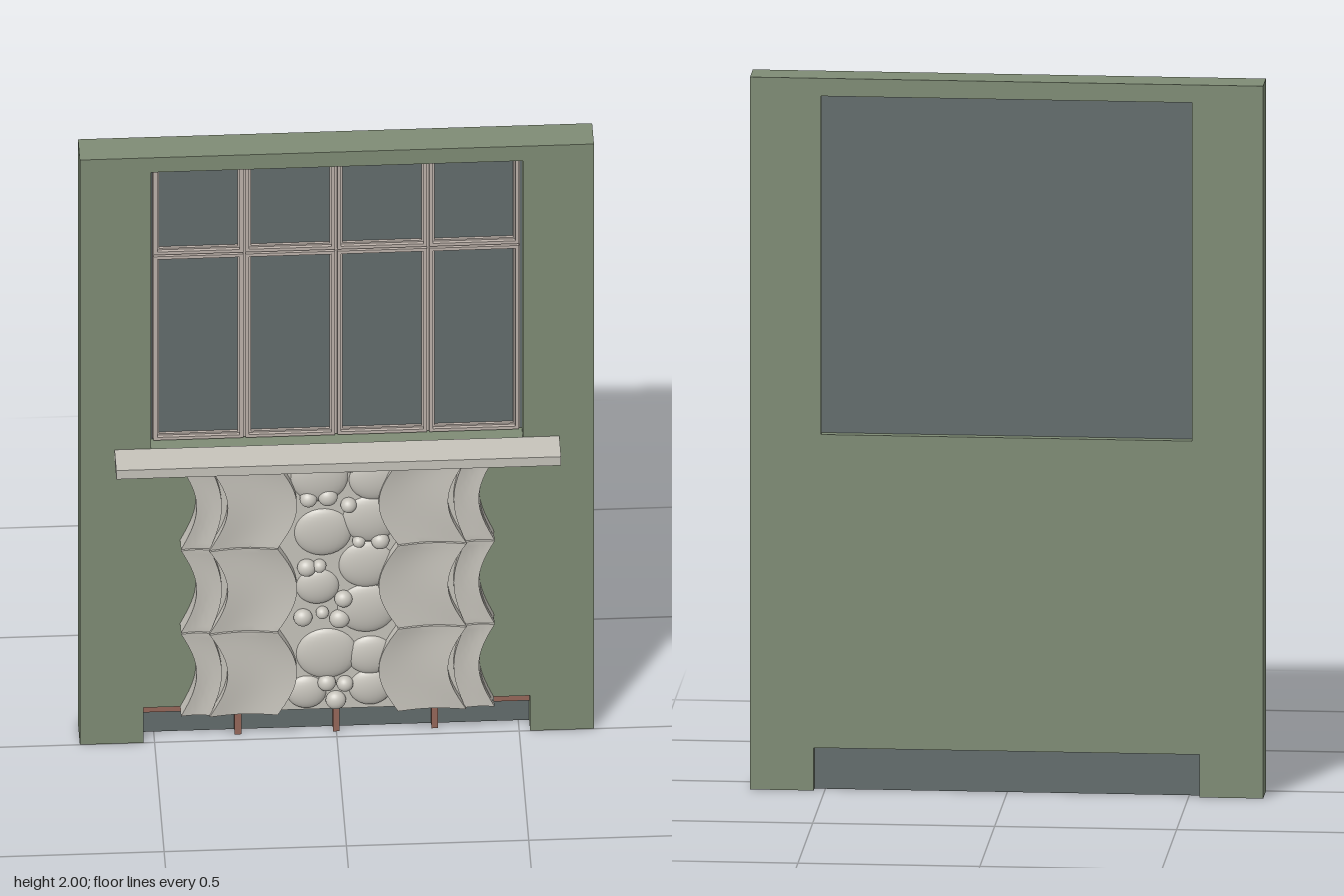
import * as THREE from 'three';
import { toCreasedNormals } from 'three/addons/utils/BufferGeometryUtils.js';

const paint = (name, color) => {
  const m = new THREE.MeshStandardMaterial({ color });
  m.name = name;
  return m;
};

// Carved panel: three equal scalloped bays
const Y0 = 0.12, BAY = 0.285, BAYS = 3, STEPS = 16;

// A scalloped vertical edge: x at the cusps, x at mid bay
const edge = (cusp, mid) => (t) => cusp + (mid - cusp) * Math.sin(Math.PI * t);

// Upright ribbon between two scalloped edges; its front is fluted by `dip`
function ribbon(left, right, z, dip, lift, cols = 10) {
  const pos = [], idx = [], n = cols + 3;
  for (let b = 0; b < BAYS; b++) {
    for (let s = 0; s <= STEPS; s++) {
      const t = s / STEPS, y = Y0 + (b + t) * BAY;
      const l = left(t), r = right(t);
      const top = z + lift * Math.pow(t, 6);
      pos.push(l, y, 0);
      for (let c = 0; c <= cols; c++) {
        const u = c / cols;
        pos.push(l + (r - l) * u, y, top - dip * Math.sin(Math.PI * u));
      }
      pos.push(r, y, 0);
    }
  }
  const rows = BAYS * (STEPS + 1);
  for (let j = 0; j < rows - 1; j++) {
    for (let i = 0; i < n - 1; i++) {
      const a = j * n + i, d = a + n;
      idx.push(a, a + 1, d, a + 1, d + 1, d);
    }
  }
  // End caps
  const e = (rows - 1) * n;
  for (let k = 1; k < n - 1; k++) idx.push(0, k + 1, k, e, e + k, e + k + 1);
  const g = new THREE.BufferGeometry();
  g.setAttribute('position', new THREE.Float32BufferAttribute(pos, 3));
  g.setIndex(idx);
  return toCreasedNormals(g, 0.6);
}

function rectPath(path, x0, y0, x1, y1) {
  path.moveTo(x0, y0);
  path.lineTo(x1, y0);
  path.lineTo(x1, y1);
  path.lineTo(x0, y1);
  path.closePath();
  return path;
}

// Rectangular picture-frame border
function border(x0, y0, x1, y1, w, z0, z1) {
  const s = rectPath(new THREE.Shape(), x0, y0, x1, y1);
  s.holes.push(rectPath(new THREE.Path(), x0 + w, y0 + w, x1 - w, y1 - w));
  return new THREE.ExtrudeGeometry(s, { depth: z1 - z0, bevelEnabled: false }).translate(0, 0, z0);
}

export function createModel() {
  const root = new THREE.Group();
  root.name = 'windowBay';
  const green = paint('greenWall', 0x7f8c75);
  const glass = paint('slateGlass', 0x626c6c);
  const stone = paint('paleStone', 0xc6c3bb);
  const frameMat = paint('warmGreyFrame', 0xbcb1aa);
  const brick = paint('redBrown', 0x96685a);

  const add = (name, geo, mat, parent = root) => {
    const m = new THREE.Mesh(geo, mat);
    m.name = name;
    parent.add(m);
    return m;
  };
  const group = (name) => {
    const g = new THREE.Group();
    g.name = name;
    root.add(g);
    return g;
  };
  const box = (name, mat, x0, x1, y0, y1, z0, z1, parent) =>
    add(name, new THREE.BoxGeometry(x1 - x0, y1 - y0, z1 - z0), mat, parent)
      .position.set((x0 + x1) / 2, (y0 + y1) / 2, (z0 + z1) / 2);

  // Wall with a window hole and a notch at the foot
  const wall = new THREE.Shape();
  [[-0.705, 0], [-0.53, 0], [-0.53, 0.12], [0.53, 0.12], [0.53, 0], [0.705, 0], [0.705, 2], [-0.705, 2]]
    .forEach(([x, y], i) => (i ? wall.lineTo(x, y) : wall.moveTo(x, y)));
  wall.closePath();
  wall.holes.push(rectPath(new THREE.Path(), -0.51, 1.0, 0.51, 1.95));
  add('wall', new THREE.ExtrudeGeometry(wall, { depth: 0.095, bevelEnabled: false }).translate(0, 0, -0.095), green);

  // Upper window: one sheet of glass, eight stepped pane frames
  const upper = group('upperWindow');
  box('upperGlass', glass, -0.51, 0.51, 1.0, 1.95, -0.07, -0.05, upper);
  for (let c = 0; c < 4; c++) {
    const x = -0.504 + c * 0.252;
    for (const [y0, y1] of [[1.006, 1.64], [1.64, 1.946]]) {
      add('paneFrame', border(x, y0, x + 0.252, y1, 0.018, -0.05, -0.042), frameMat, upper);
      add('paneBead', border(x + 0.003, y0 + 0.003, x + 0.249, y1 - 0.003, 0.01, -0.042, -0.032), frameMat, upper);
    }
  }

  // Low window at the foot
  const lower = group('lowerWindow');
  box('lowerGlass', glass, -0.53, 0.53, 0, 0.12, -0.07, -0.05, lower);
  box('lowerRail', brick, -0.53, 0.53, 0.085, 0.12, -0.05, -0.025, lower);
  for (const x of [-0.27, 0, 0.27]) box('lowerPost', brick, x - 0.009, x + 0.009, 0, 0.085, -0.05, -0.025, lower);

  // Window sill
  box('sill', stone, -0.61, 0.61, 0.975, 1.005, 0, 0.095);

  // Carved panel: backing, then mirrored outer and inner bands
  const panel = group('carvedPanel');
  add('panelBacking', ribbon(edge(-0.425, -0.38), edge(0.43, 0.39), 0.03, 0, 0, 1), stone, panel);
  for (const s of [-1, 1]) {
    const bands = [
      ['outerBand', edge(s * 0.35, s * 0.318), edge(s * 0.43, s * 0.387), 0.045, 0.004],
      ['innerBand', edge(s * 0.165, s * 0.112), edge(s * 0.352, s * 0.302), 0.053, 0.01],
    ];
    for (const [name, near, far, z, dip] of bands) {
      add(name, s > 0 ? ribbon(near, far, z, dip, 0.006) : ribbon(far, near, z, dip, 0.006), stone, panel);
    }
  }

  // Pebbles down the middle: x, y, radius
  const pebbles = group('pebbles');
  const large = [
    [-0.05, 0.91, 0.08], [0.1, 0.9, 0.07], [-0.04, 0.725, 0.08], [0.09, 0.765, 0.078],
    [0.08, 0.61, 0.078], [-0.055, 0.54, 0.06], [0.08, 0.46, 0.082], [-0.03, 0.31, 0.085],
    [0.09, 0.3, 0.065], [-0.085, 0.18, 0.055], [0.09, 0.19, 0.06],
  ];
  const small = [
    [-0.08, 0.845, 0.024], [-0.027, 0.85, 0.027], [0.03, 0.82, 0.022], [0.035, 0.955, 0.02],
    [0.058, 0.695, 0.018], [0.117, 0.695, 0.025], [-0.085, 0.61, 0.026], [-0.05, 0.615, 0.019],
    [0.016, 0.5, 0.025], [-0.095, 0.44, 0.026], [-0.042, 0.455, 0.018], [0.005, 0.432, 0.028],
    [-0.03, 0.215, 0.025], [0.02, 0.21, 0.023], [-0.005, 0.155, 0.028],
  ];
  const ball = new THREE.SphereGeometry(1, 24, 16);
  const place = (name, z, depth) => ([x, y, r]) => {
    const m = add(name, ball, stone, pebbles);
    m.position.set(x, y, z);
    m.scale.set(r, r, Math.min(r, depth));
  };
  large.forEach(place('largePebble', 0.026, 0.025));
  small.forEach(place('smallPebble', 0.038, 0.022));

  return root;
}
